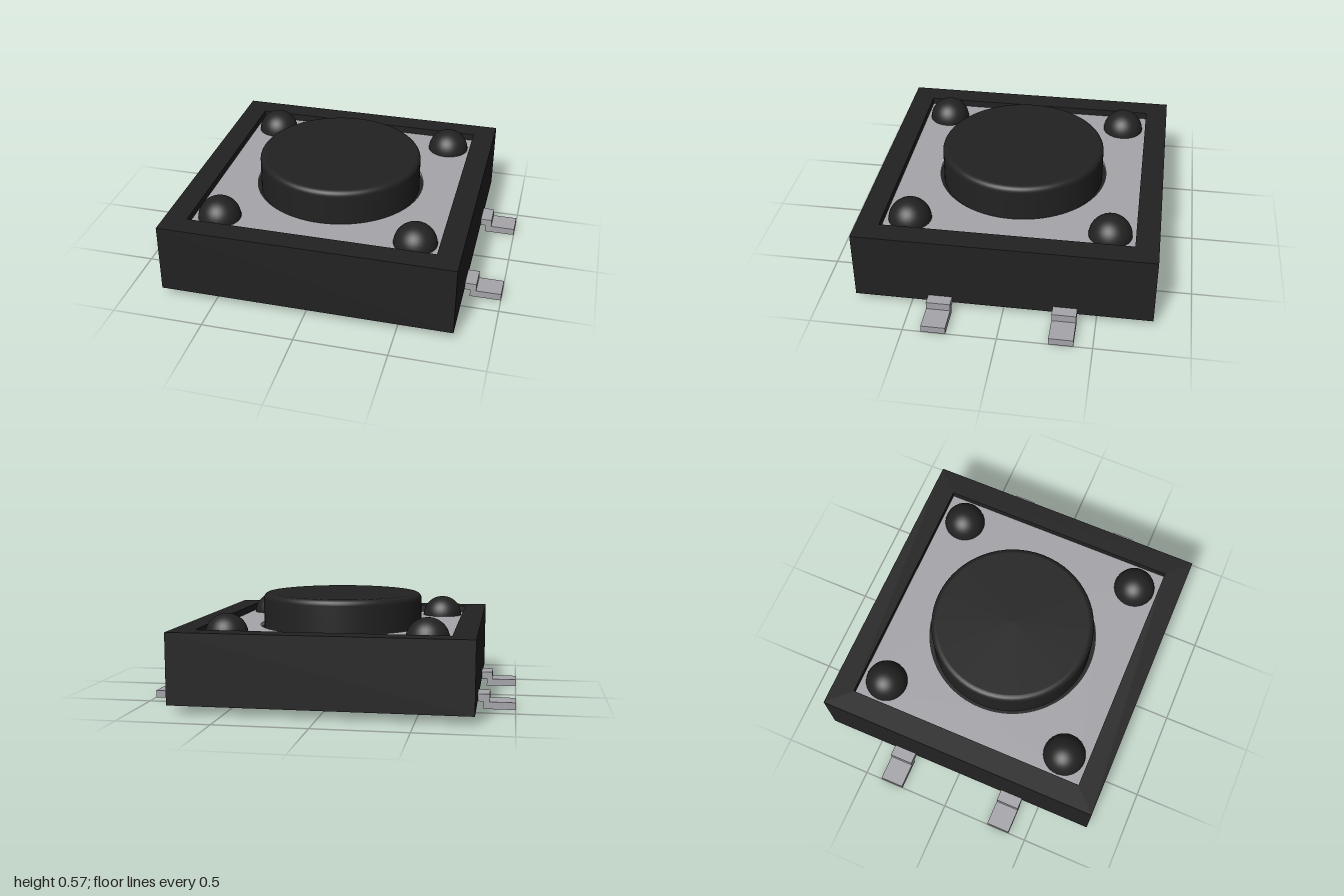
import * as THREE from 'three';

const housingBlack = new THREE.MeshStandardMaterial({ color: 0x222222 });
housingBlack.name = 'housing black';
const metalGrey = new THREE.MeshStandardMaterial({ color: 0xa5a5aa });
metalGrey.name = 'metal grey';

const BOTTOM = 0.045, FLOOR = 0.37, PLATE_TOP = 0.39, RIM_TOP = 0.43;

function square(half, Type = THREE.Shape) {
  const s = new Type();
  s.moveTo(-half, -half);
  s.lineTo(half, -half);
  s.lineTo(half, half);
  s.lineTo(-half, half);
  s.closePath();
  return s;
}

// Extrudes a plan outline upwards from y0 to y1
function slab(shape, y0, y1) {
  const g = new THREE.ExtrudeGeometry(shape, { depth: y1 - y0, bevelEnabled: false, curveSegments: 48 });
  return g.rotateX(-Math.PI / 2).translate(0, y0, 0);
}

export function createModel() {
  const model = new THREE.Group();
  model.name = 'pushButtonSwitch';
  const add = (name, geometry, material) => {
    const mesh = new THREE.Mesh(geometry, material);
    mesh.name = name;
    model.add(mesh);
    return mesh;
  };

  // Housing: outer frame around a recessed floor
  const frame = square(0.8);
  frame.holes.push(square(0.675, THREE.Path));
  add('housingFrame', slab(frame, BOTTOM, RIM_TOP), housingBlack);
  add('housingFloor', slab(square(0.675), BOTTOM, FLOOR), housingBlack);

  // Metal cover with a clearance hole for the button
  const cover = square(0.675);
  cover.holes.push(new THREE.Path().absarc(0, 0, 0.475, 0, Math.PI * 2, true));
  add('coverPlate', slab(cover, FLOOR, PLATE_TOP), metalGrey);

  // Round button with a softened top edge
  const R = 0.455, TOP = 0.575, F = 0.03;
  const side = new THREE.LatheGeometry(
    [new THREE.Vector2(R, FLOOR), new THREE.Vector2(R, TOP - F)], 64);
  add('buttonSide', side, housingBlack);
  const edge = [];
  for (let i = 0; i <= 6; i++) {
    const a = (i / 6) * Math.PI / 2;
    edge.push(new THREE.Vector2(R - F + F * Math.cos(a), TOP - F + F * Math.sin(a)));
  }
  add('buttonEdge', new THREE.LatheGeometry(edge, 64), housingBlack);
  add('buttonTop', new THREE.CircleGeometry(R - F, 64).rotateX(-Math.PI / 2).translate(0, TOP, 0), housingBlack);

  // Domed rivets in the four corners
  const dome = new THREE.SphereGeometry(0.117, 32, 12, 0, Math.PI * 2, 0, Math.PI / 2);
  for (const x of [-0.54, 0.54]) {
    for (const z of [-0.54, 0.54]) {
      add('rivet', dome, housingBlack).position.set(x, PLATE_TOP - 0.002, z);
    }
  }

  // Stepped solder leads, two on each side
  const profile = new THREE.Shape([
    [0.79, 0.045], [0.83, 0.045], [0.83, 0.004], [1, 0.004],
    [1, 0.043], [0.863, 0.043], [0.863, 0.085], [0.79, 0.085],
  ].map(([x, y]) => new THREE.Vector2(x, y - 0.004)));
  const lead = new THREE.ExtrudeGeometry(profile, { depth: 0.13, bevelEnabled: false })
    .translate(0, 0, -0.065);
  for (const turn of [0, Math.PI]) {
    for (const z of [-0.335, 0.335]) {
      const mesh = add(turn ? 'rightLead' : 'leftLead', lead, metalGrey);
      mesh.rotation.y = turn;
      mesh.position.z = z;
    }
  }
  return model;
}
